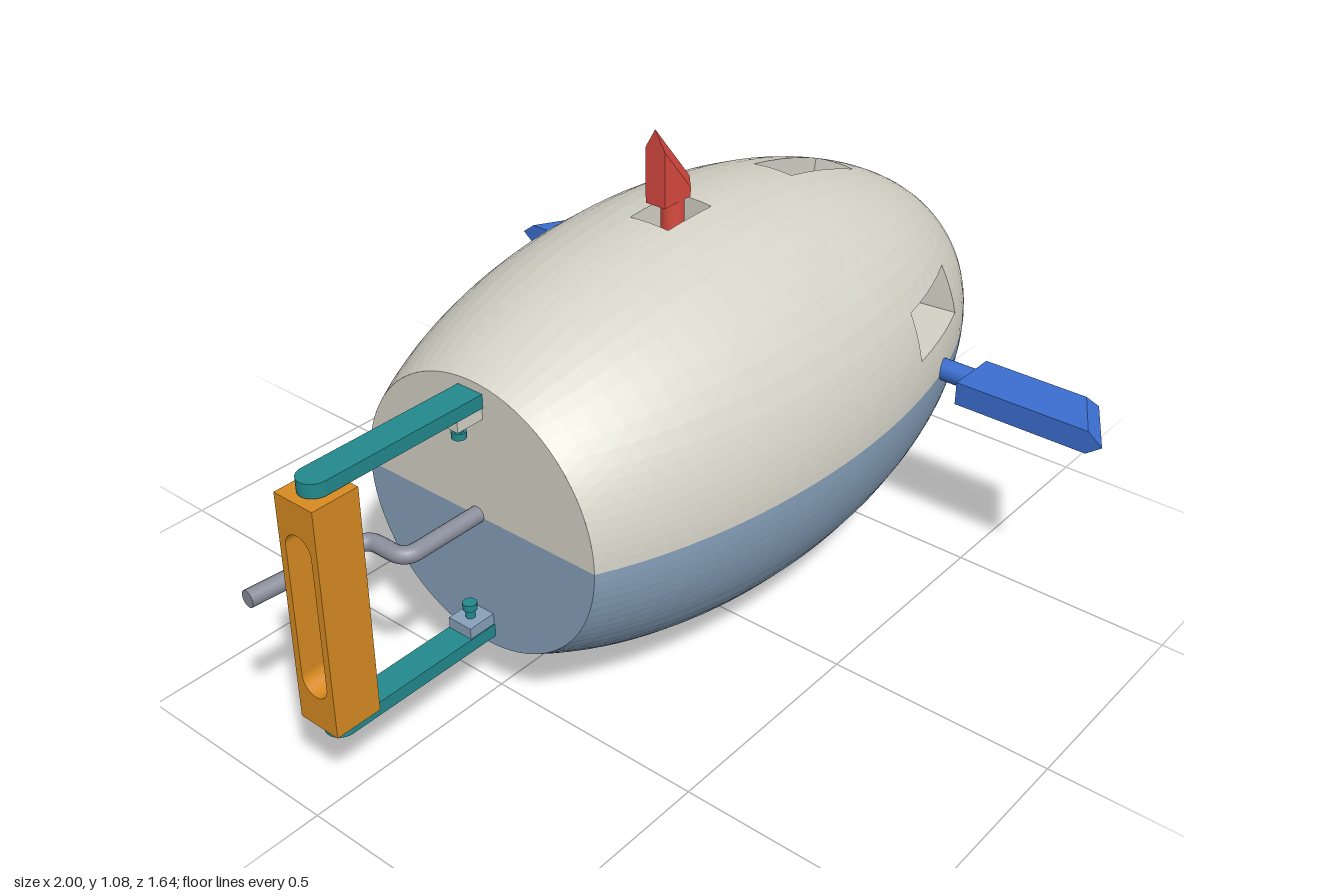
import * as THREE from 'three';

const mat = (name, color, side = THREE.FrontSide) => {
  const m = new THREE.MeshStandardMaterial({ color, side });
  m.name = name;
  return m;
};

const CY = 0.445, CX = 0.11, HALF = 0.89, RAD = 0.445, TAIL = -0.54;
const radius = x => RAD * Math.sqrt(Math.max(0, 1 - ((x - CX) / HALF) ** 2));

// flat-shaded geometry from a list of four-cornered faces
function quads(list) {
  const pos = [];
  for (const [a, b, c, d] of list) pos.push(...a, ...b, ...c, ...a, ...c, ...d);
  const g = new THREE.BufferGeometry();
  g.setAttribute('position', new THREE.Float32BufferAttribute(pos, 3));
  g.computeVertexNormals();
  return g;
}

// subdivide between break values; also return the index of each break
function subdivide(breaks, counts) {
  const values = [breaks[0]], marks = [0];
  counts.forEach((n, k) => {
    for (let i = 1; i <= n; i++) values.push(breaks[k] + (breaks[k + 1] - breaks[k]) * i / n);
    marks.push(values.length - 1);
  });
  return { values, marks };
}

// fin with bevelled leading edge and tip: x = chord, y = span, z = thickness
function finGeometry(outline, inset, t) {
  const ring = (pts, z) => pts.map(([x, y]) => [x, y, z]);
  const rings = [ring(inset, -t), ring(outline, 0), ring(inset, t)];
  const faces = [rings[2], [...rings[0]].reverse()];
  for (let k = 0; k < 2; k++) {
    for (let i = 0; i < 4; i++) {
      const j = (i + 1) % 4;
      faces.push([rings[k][i], rings[k][j], rings[k + 1][j], rings[k + 1][i]]);
    }
  }
  return quads(faces);
}

export function createModel() {
  const model = new THREE.Group();
  const ivory = mat('ivory hull', 0xd5d3c7, THREE.DoubleSide);
  const slate = mat('slate blue hull', 0x87a1bb, THREE.DoubleSide);
  const teal = mat('teal', 0x228a8e);
  const orange = mat('orange', 0xd98b22);
  const blue = mat('blue', 0x3b6fd0);
  const red = mat('red', 0xd84a40);
  const steel = mat('steel', 0x8b8f9c);

  const add = (name, geo, material, x = 0, y = 0, z = 0, parent = model) => {
    const m = new THREE.Mesh(geo, material);
    m.name = name;
    m.position.set(x, y, z);
    parent.add(m);
    return m;
  };

  // hull grid: stations along x and angles around, aligned with the openings
  const phi = x => Math.acos(Math.max(-1, Math.min(1, (x - CX) / HALF)));
  const phis = [TAIL, -0.02, 0.12, 0.4, 0.64, 1].map(phi);
  const along = subdivide(phis, phis.slice(1).map((p, k) => Math.ceil((phis[k] - p) / 0.07)));
  const xs = along.values.map(p => CX + HALF * Math.cos(p));
  const around = x => {
    const q = Math.max(radius(x), 0.3);
    const half = [0, Math.asin(0.085 / q), Math.asin(0.19 / q), Math.acos(0.05 / q)];
    const all = [...half, ...half.map(a => Math.PI - a).reverse()];
    return subdivide(all, [4, 5, 9, 4, 9, 5, 4]);
  };
  const angles = xs.map(x => around(x).values);
  const bands = around(0).marks;
  const point = (i, j, turn = 0) => {
    const a = angles[i][j] + turn, r = radius(xs[i]);
    return [xs[i], CY + r * Math.sin(a), r * Math.cos(a)];
  };
  const opening = (k, b) => ({
    i0: along.marks[k], i1: along.marks[k + 1], j0: bands[b], j1: bands[b + 1],
  });
  const leftWindow = opening(3, 1), rightWindow = opening(3, 5);
  const topWindow = opening(3, 3), finWell = opening(1, 3);
  const openings = [leftWindow, rightWindow, topWindow, finWell];

  const shell = (turn, holes) => {
    const faces = [];
    for (let i = 0; i < xs.length - 1; i++) {
      for (let j = 0; j < angles[0].length - 1; j++) {
        if (holes.some(h => i >= h.i0 && i < h.i1 && j >= h.j0 && j < h.j1)) continue;
        faces.push([point(i, j, turn), point(i + 1, j, turn),
          point(i + 1, j + 1, turn), point(i, j + 1, turn)]);
      }
    }
    return quads(faces);
  };
  add('upperHull', shell(0, openings), ivory);
  add('lowerHull', shell(Math.PI, []), slate);

  // flat tail plate, one half per colour
  [['upperTailPlate', 0, ivory], ['lowerTailPlate', Math.PI, slate]].forEach(([n, start, m]) => {
    add(n, new THREE.CircleGeometry(radius(TAIL), 40, start, Math.PI), m, TAIL, CY).rotation.y = -Math.PI / 2;
  });

  // walls running inward from the edge of an opening
  const walls = (name, o, inner) => {
    const loop = [];
    for (let i = o.i0; i < o.i1; i++) loop.push(point(i, o.j0));
    for (let j = o.j0; j < o.j1; j++) loop.push(point(o.i1, j));
    for (let i = o.i1; i > o.i0; i--) loop.push(point(i, o.j1));
    for (let j = o.j1; j > o.j0; j--) loop.push(point(o.i0, j));
    add(name, quads(loop.map((p, k) => {
      const q = loop[(k + 1) % loop.length];
      return [p, inner(p), inner(q), q];
    })), ivory);
  };
  const X0 = 0.43, X1 = 0.605, FLOOR = CY + 0.085, CEIL = CY + 0.19;
  const taper = x => X0 + (x - 0.4) / 0.24 * (X1 - X0);
  walls('leftWindowWalls', leftWindow, p => [taper(p[0]), p[1], 0.05]);
  walls('rightWindowWalls', rightWindow, p => [taper(p[0]), p[1], -0.05]);
  walls('topWindowWalls', topWindow, p => [taper(p[0]), CEIL, p[2]]);
  walls('finWellWalls', finWell, p => [p[0], CY, p[2]]);

  // chamber where the three window shafts meet
  const chamber = [];
  for (const x of [X0, X1]) chamber.push([[x, CY, -0.05], [x, CY, 0.05], [x, CEIL, 0.05], [x, CEIL, -0.05]]);
  for (const z of [-0.05, 0.05]) chamber.push([[X0, CY, z], [X1, CY, z], [X1, FLOOR, z], [X0, FLOOR, z]]);
  add('windowChamber', quads(chamber), ivory);
  add('innerDeck', new THREE.PlaneGeometry(0.7, 0.1), slate, 0.3, CY).rotation.x = -Math.PI / 2;

  // fins with round stems
  const fin = (name, material, geo, stemX, stemLength) => {
    const g = new THREE.Group();
    g.name = name;
    add(name + 'Blade', geo, material, 0, 0, 0, g);
    add(name + 'Stem', new THREE.CylinderGeometry(0.025, 0.025, stemLength, 24),
      material, stemX, -stemLength / 2, 0, g);
    model.add(g);
    return g;
  };
  fin('topFin', red, finGeometry(
    [[0, 0], [0.11, 0], [0.11, 0.03], [0, 0.165]],
    [[0, 0], [0.083, 0], [0.083, 0.02], [0, 0.122]], 0.025), 0.055, 0.47).position.y = 0.915;
  const sideBlade = finGeometry(
    [[0.455, 0], [0.605, 0], [0.605, 0.265], [0.455, 0.35]],
    [[0.455, 0], [0.58, 0], [0.58, 0.245], [0.455, 0.315]], 0.027);
  for (const s of [1, -1]) {
    const f = fin(s > 0 ? 'frontSideFin' : 'rearSideFin', blue, sideBlade, 0.53, 0.09);
    f.position.set(0, CY + 0.003, s * 0.47);
    f.rotation.x = s * Math.PI / 2;
  }

  // rudder arms, lugs and pins, mirrored above and below
  const arm = new THREE.Shape();
  arm.moveTo(TAIL, -0.032);
  arm.lineTo(TAIL, 0.032);
  arm.lineTo(-0.92, 0.032);
  arm.absarc(-0.92, 0, 0.032, Math.PI / 2, Math.PI * 1.5, false);
  const armGeo = new THREE.ExtrudeGeometry(arm, { depth: 0.03, bevelEnabled: false, curveSegments: 16 });
  armGeo.rotateX(-Math.PI / 2).translate(0, -0.015, 0);
  for (const s of [1, -1]) {
    const n = s > 0 ? 'upper' : 'lower', y = d => CY + 0.003 + s * d;
    add(n + 'RudderArm', armGeo, teal, 0, y(0.267));
    add(n + 'Lug', new THREE.BoxGeometry(0.065, 0.025, 0.06), s > 0 ? ivory : slate, -0.573, y(0.2395));
    add(n + 'Pin', new THREE.CylinderGeometry(0.01, 0.01, 0.06, 16), teal, -0.575, y(0.225));
    add(n + 'PinHead', new THREE.CylinderGeometry(0.015, 0.015, 0.015, 16), teal, -0.575, y(0.2));
  }

  // rudder block with a long rounded slot
  const W = 0.05, H = 0.25, R = 0.034, S = 0.145;
  const block = new THREE.Shape([[-W, -H], [W, -H], [W, H], [-W, H]].map(p => new THREE.Vector2(...p)));
  const slot = new THREE.Path();
  slot.absarc(0, S, R, 0, Math.PI, false);
  slot.absarc(0, -S, R, Math.PI, Math.PI * 2, false);
  slot.closePath();
  block.holes.push(slot);
  const blockGeo = new THREE.ExtrudeGeometry(block, { depth: 0.105, bevelEnabled: false, curveSegments: 16 });
  add('rudder', blockGeo, orange, -0.97, CY + 0.003).rotation.y = Math.PI / 2;

  // cranked drive rod
  const v = (x, z) => new THREE.Vector3(x, CY + 0.003, z);
  const rod = new THREE.CurvePath();
  rod.add(new THREE.LineCurve3(v(TAIL, 0), v(-0.7, 0)));
  rod.add(new THREE.QuadraticBezierCurve3(v(-0.7, 0), v(-0.732, 0), v(-0.732, -0.035)));
  rod.add(new THREE.LineCurve3(v(-0.732, -0.035), v(-0.732, -0.07)));
  rod.add(new THREE.QuadraticBezierCurve3(v(-0.732, -0.07), v(-0.732, -0.103), v(-0.77, -0.106)));
  rod.add(new THREE.LineCurve3(v(-0.77, -0.106), v(-1, -0.127)));
  add('driveRod', new THREE.TubeGeometry(rod, 80, 0.018, 16), steel);
  add('driveRodEnd', new THREE.CircleGeometry(0.018, 16), steel, -1, CY + 0.003, -0.127).rotation.y = -Math.PI / 2 - 0.09;

  return model;
}
